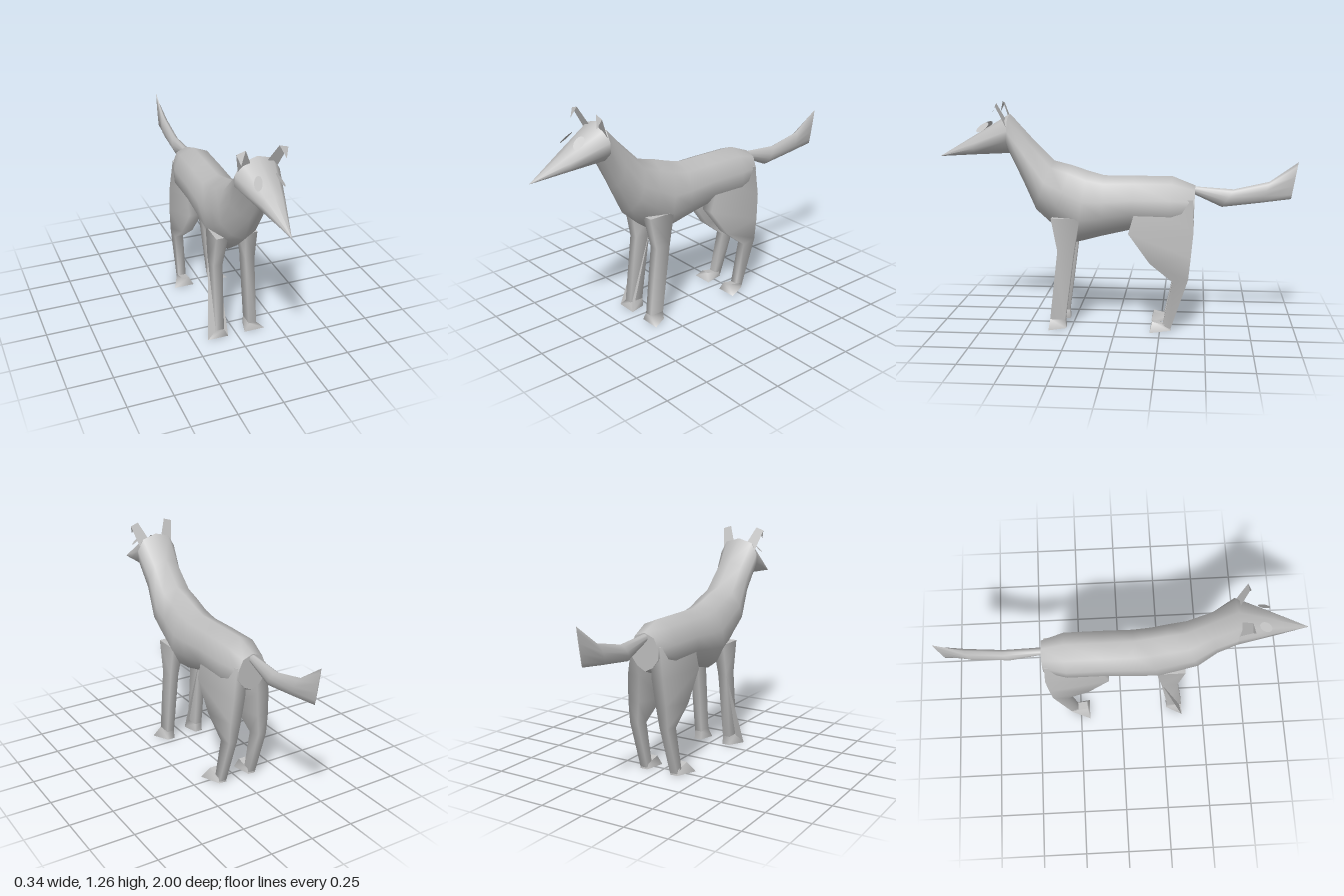
import * as THREE from 'three';

const V = (x, y, z) => new THREE.Vector3(x, y, z);
const coat = new THREE.MeshStandardMaterial({ color: 0xc0c0c0 });
coat.name = 'coatGrey';
const thinCoat = coat.clone();
thinCoat.name = 'coatGreyThin';
thinCoat.side = THREE.DoubleSide;

function toGeometry(points, index) {
  const g = new THREE.BufferGeometry().setFromPoints(points);
  g.setIndex(index);
  g.computeVertexNormals();
  return g;
}

// Skin a row of equal-length rings, cap both ends, and turn the faces outward
function loft(rings) {
  const n = rings[0].length;
  const pts = rings.flat();
  const tris = [];
  for (let r = 0; r < rings.length - 1; r++) {
    for (let i = 0; i < n; i++) {
      const a = r * n + i, b = r * n + (i + 1) % n;
      tris.push([a, b, b + n], [a, b + n, a + n]);
    }
  }
  [rings[0], rings[rings.length - 1]].forEach((ring, end) => {
    const base = pts.length;
    pts.push(...ring);
    for (let i = 1; i < n - 1; i++) {
      tris.push(end ? [base, base + i, base + i + 1] : [base, base + i + 1, base + i]);
    }
  });
  let volume = 0;
  for (const [a, b, c] of tris) volume += pts[a].dot(pts[b].clone().cross(pts[c]));
  return toGeometry(pts, (volume < 0 ? tris.map(([a, b, c]) => [a, c, b]) : tris).flat());
}

// Body section running from a top point to a bottom point: [down, half width]
const SECTION = [[0, 0], [0.11, 0.7], [0.4, 1], [0.65, 1], [0.88, 0.56], [1, 0]];
function bodyRing([zTop, yTop, zBot, yBot, w]) {
  const side = (s) => ([t, k]) =>
    V(s * k * w, THREE.MathUtils.lerp(yTop, yBot, t), THREE.MathUtils.lerp(zTop, zBot, t));
  return [...SECTION.map(side(1)), ...SECTION.slice(1, -1).reverse().map(side(-1))];
}

// Four-cornered leg section; the back edge may be narrower than the front
function legRing(s, [yF, zF, yB, zB, xi, xo, xiB = xi, xoB = xo]) {
  return [V(s * xi, yF, zF), V(s * xo, yF, zF), V(s * xoB, yB, zB), V(s * xiB, yB, zB)];
}

export function createModel() {
  const model = new THREE.Group();
  model.name = 'dog';
  const add = (name, geometry, material = coat) => {
    const mesh = new THREE.Mesh(geometry, material);
    mesh.name = name;
    model.add(mesh);
  };

  // Pointed head
  add('head', loft([
    [0.6, 1.2, 0.6, 0.98, 0.12],
    [0.8, 1.08, 0.8, 0.97, 0.062],
    [1, 0.96, 1, 0.958, 0.001],
  ].map(bodyRing)));

  // Neck and trunk with a keeled chest and tucked belly
  add('body', loft([
    [0.6, 1.2, 0.6, 0.98, 0.12],
    [0.48, 1.07, 0.53, 0.82, 0.105],
    [0.35, 0.94, 0.46, 0.66, 0.12],
    [0.25, 0.915, 0.36, 0.57, 0.12],
    [0.16, 0.885, 0.23, 0.475, 0.12],
    [0.07, 0.86, 0.08, 0.515, 0.12],
    [-0.1, 0.86, -0.07, 0.55, 0.12],
    [-0.31, 0.86, -0.3, 0.55, 0.12],
    [-0.437, 0.81, -0.43, 0.6, 0.085],
  ].map(bodyRing)));

  // Tail, swelling and then ending in an upswept edge
  add('tail', loft([
    [-0.42, 0.805, -0.42, 0.765, 0.02],
    [-0.65, 0.79, -0.585, 0.69, 0.025],
    [-0.845, 0.835, -0.8, 0.717, 0.025],
    [-1, 0.945, -0.965, 0.74, 0.002],
  ].map(bodyRing)));

  for (const s of [1, -1]) {
    const side = s > 0 ? 'left' : 'right';

    // Front leg and splayed foot
    add(side + 'FrontLeg', loft([
      [0.63, 0.36, 0.63, 0.2, 0.05, 0.118],
      [0.445, 0.325, 0.445, 0.233, 0.068, 0.12],
      [0.05, 0.37, 0.05, 0.285, 0.075, 0.12],
    ].map((r) => legRing(s, r))));
    add(side + 'FrontFoot', loft([
      [0.05, 0.37, 0.05, 0.285, 0.075, 0.12],
      [0, 0.373, 0, 0.28, 0.05, 0.17, 0.075, 0.12],
    ].map((r) => legRing(s, r))));

    // Hind leg: thigh, hock and shank
    add(side + 'HindLeg', loft([
      [0.72, -0.12, 0.74, -0.425, 0.03, 0.115, 0.03, 0.09],
      [0.55, -0.07, 0.57, -0.432, 0.04, 0.115, 0.04, 0.11],
      [0.385, -0.19, 0.42, -0.418, 0.055, 0.12],
      [0.28, -0.32, 0.295, -0.405, 0.07, 0.12],
      [0.03, -0.265, 0.01, -0.31, 0.075, 0.12],
    ].map((r) => legRing(s, r))));
    add(side + 'HindFoot', loft([
      [0.05, -0.208, 0.03, -0.3, 0.075, 0.12],
      [0, -0.195, 0, -0.31, 0.05, 0.17, 0.075, 0.12],
    ].map((r) => legRing(s, r))));

    // Thin ear with its tip folded forward
    const ear = [
      V(s * 0.04, 1.165, 0.612), V(s * 0.105, 1.135, 0.605),
      V(s * 0.135, 1.25, 0.655), V(s * 0.087, 1.265, 0.657),
    ];
    add(side + 'Ear', toGeometry(ear, s > 0 ? [0, 1, 2, 0, 2, 3] : [0, 2, 1, 0, 3, 2]), thinCoat);
    add(side + 'EarTip', toGeometry([ear[2], ear[3], V(s * 0.118, 1.2, 0.678)],
      s > 0 ? [0, 1, 2] : [0, 2, 1]), thinCoat);

    // Oval eye plate standing just off the brow
    const long = V(s * 0.24, -0.59, 0.77).normalize();
    const out = V(s * 0.6, 0.6, 0.27).normalize();
    const short = long.clone().cross(out).normalize();
    const eye = new THREE.CircleGeometry(1, 16).scale(0.023, 0.041, 1);
    eye.applyMatrix4(new THREE.Matrix4()
      .makeBasis(short, long, short.clone().cross(long))
      .setPosition(s * 0.058, 1.128, 0.745));
    add(side + 'Eye', eye, thinCoat);
  }

  // Flared web behind the right front leg
  add('rightLegWeb', toGeometry([
    V(-0.12, 0.45, 0.235), V(-0.065, 0.45, 0.235), V(-0.05, 0, 0.372), V(-0.17, 0, 0.372),
  ], [0, 1, 2, 0, 2, 3]), thinCoat);

  return model;
}
